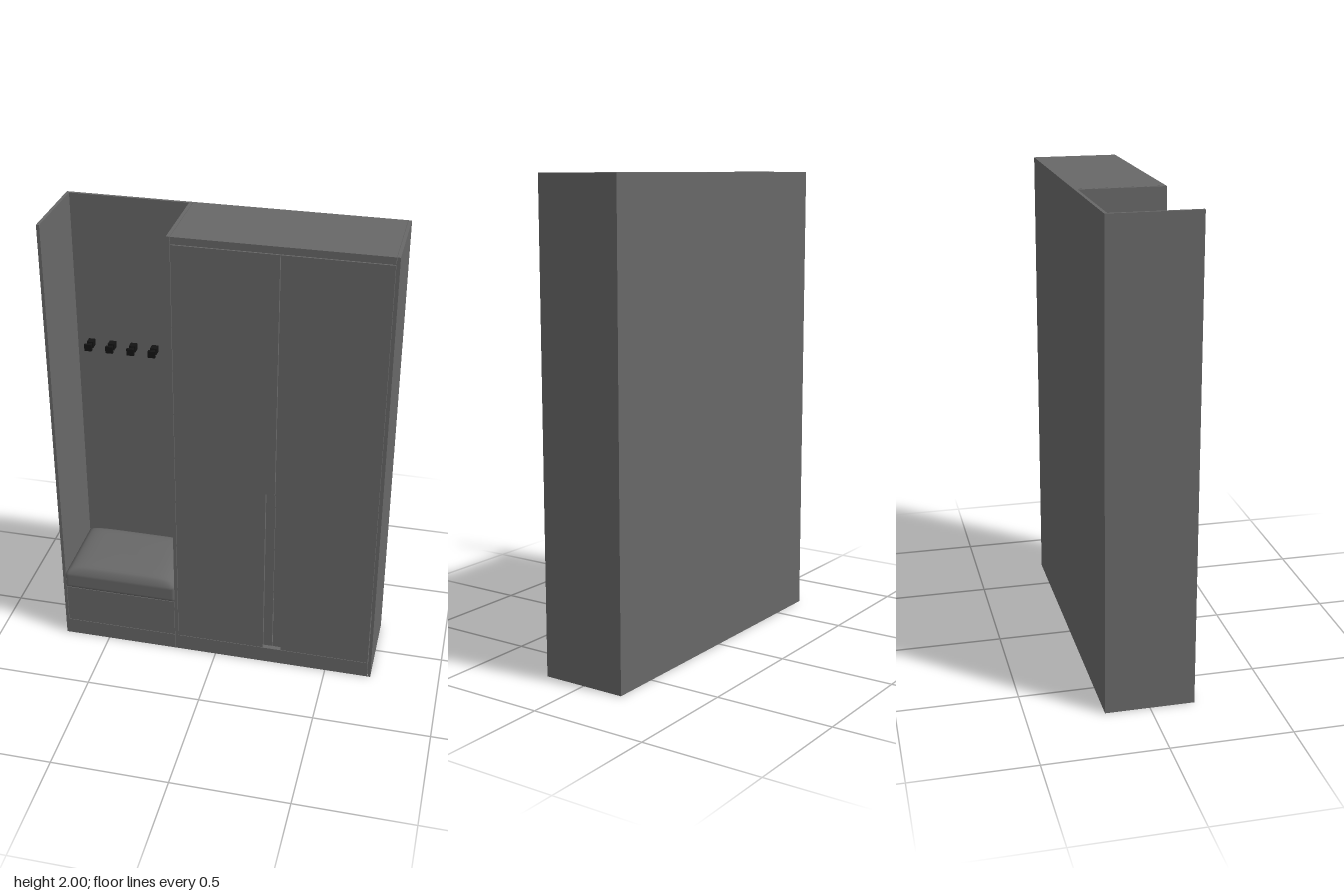
import * as THREE from 'three';
import { mergeVertices } from 'three/addons/utils/BufferGeometryUtils.js';

const grey = new THREE.MeshStandardMaterial({ color: 0x686868 });
const black = new THREE.MeshStandardMaterial({ color: 0x131313 });

const FRONT = 0.185, BACK = -0.185, BACK_IN = -0.172;

// Box given by its min and max along each axis
function box(parent, name, [x0, x1], [y0, y1], [z0, z1], material = grey) {
  const mesh = new THREE.Mesh(new THREE.BoxGeometry(x1 - x0, y1 - y0, z1 - z0), material);
  mesh.position.set((x0 + x1) / 2, (y0 + y1) / 2, (z0 + z1) / 2);
  mesh.name = name;
  parent.add(mesh);
}

// Door leaf with a long notch at its inner lower corner
function door(name, outer, inner, notch) {
  const y0 = 0.077, y1 = 1.967, grip = 0.893, t = 0.018;
  const shape = new THREE.Shape([
    [outer, y0], [notch, y0], [notch, grip], [inner, grip], [inner, y1], [outer, y1],
  ].map(([x, y]) => new THREE.Vector2(x, y)));
  const mesh = new THREE.Mesh(new THREE.ExtrudeGeometry(shape, { depth: t, bevelEnabled: false }), grey);
  mesh.position.z = FRONT - t;
  mesh.name = name;
  return mesh;
}

// Padded seat: a box whose top swells and rounds off toward its rim
function cushion() {
  const w = 0.502, d = 0.357, h = 0.113, rim = 0.072;
  let geo = new THREE.BoxGeometry(w, h, d, 40, 6, 32);
  const p = geo.attributes.position;
  const dome = (u) => Math.sqrt(Math.max(0, 1 - Math.abs(u) ** 6));
  for (let i = 0; i < p.count; i++) {
    const u = p.getX(i) / (w / 2), v = p.getZ(i) / (d / 2);
    const top = rim + (h - rim) * dome(u) * dome(v);
    p.setY(i, (p.getY(i) / h + 0.5) * top);
  }
  // Weld the faces so the shading runs softly over the rim
  geo.deleteAttribute('normal');
  geo.deleteAttribute('uv');
  geo = mergeVertices(geo);
  geo.computeVertexNormals();
  const mesh = new THREE.Mesh(geo, grey);
  mesh.position.set(-0.438, 0.263, 0.007);
  mesh.name = 'seatCushion';
  return mesh;
}

// Coat hook: block, tapered neck and square knob
function hook(x) {
  const g = new THREE.Group();
  g.name = 'coatHook';
  box(g, 'hookBase', [-0.014, 0.014], [-0.014, 0.014], [0, 0.033], black);
  const neck = new THREE.Mesh(new THREE.CylinderGeometry(0.008, 0.012, 0.022, 4, 1).rotateY(Math.PI / 4), black);
  neck.rotation.x = Math.PI / 2;
  neck.position.z = 0.043;
  neck.name = 'hookNeck';
  g.add(neck);
  box(g, 'hookKnob', [-0.016, 0.016], [-0.015, 0.015], [0.052, 0.065], black);
  g.position.set(x, 1.33, BACK_IN);
  return g;
}

export function createModel() {
  const root = new THREE.Group();
  root.name = 'hallwayWardrobe';

  // Carcass panels, with fine joints beside the divider and the wardrobe side
  box(root, 'backPanel', [-0.703, 0.703], [0, 2], [BACK, BACK_IN]);
  box(root, 'nicheSidePanel', [-0.703, -0.69], [0, 2], [BACK_IN, FRONT]);
  box(root, 'dividerPanel', [-0.186, -0.172], [0, 2], [BACK_IN, FRONT]);
  box(root, 'wardrobeSidePanel', [0.69, 0.703], [0, 2], [BACK_IN, FRONT]);
  box(root, 'wardrobeTop', [-0.17, 0.688], [1.97, 2], [BACK_IN, FRONT]);
  box(root, 'wardrobePlinth', [-0.172, 0.688], [0, 0.075], [BACK_IN, FRONT]);
  box(root, 'benchPlinth', [-0.69, -0.188], [0, 0.075], [BACK_IN, FRONT]);

  // Doors, with a recessed grip plate behind the notches
  root.add(door('leftDoor', 0.687, 0.2585, 0.297));
  root.add(door('rightDoor', -0.17, 0.2555, 0.217));
  box(root, 'gripRecess', [0.212, 0.2555], [0.077, 0.9], [0.155, 0.166]);
  box(root, 'gripRecess', [0.2585, 0.302], [0.077, 0.9], [0.155, 0.166]);

  // Bench
  box(root, 'benchBody', [-0.69, -0.186], [0.075, 0.258], [BACK_IN, 0.165]);
  box(root, 'benchFront', [-0.688, -0.188], [0.077, 0.26], [0.165, FRONT]);
  root.add(cushion());

  // Row of coat hooks
  for (let i = 0; i < 5; i++) root.add(hook(-0.626 + i * 0.0939));

  return root;
}
